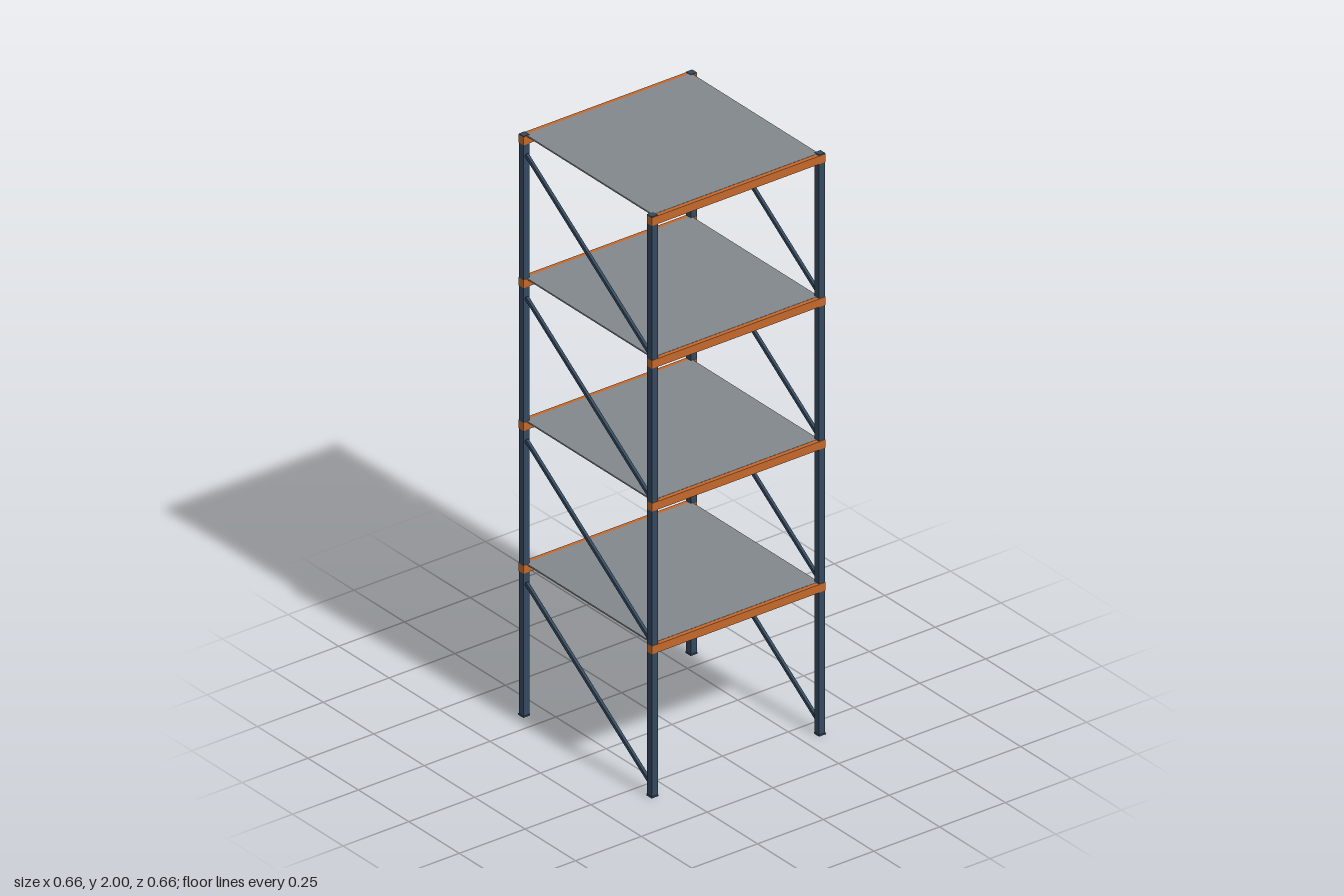
import * as THREE from 'three';

const steel = new THREE.MeshStandardMaterial({ color: 0x34495e });
steel.name = 'blue steel';
const orange = new THREE.MeshStandardMaterial({ color: 0xc4692c });
orange.name = 'orange beam';
const grey = new THREE.MeshStandardMaterial({ color: 0x82888c });
grey.name = 'grey deck';

const SIDES = [-1, 1];
const POST = 0.318;            // post centre from the middle
const STEP = 0.4915;           // height between shelves

export function createModel() {
  const rack = new THREE.Group();
  rack.name = 'shelvingRack';

  const box = (name, mat, size, pos) => {
    const mesh = new THREE.Mesh(new THREE.BoxGeometry(...size), mat);
    mesh.name = name;
    mesh.position.set(...pos);
    rack.add(mesh);
    return mesh;
  };

  // Corner posts with small foot plates
  for (const x of SIDES) for (const z of SIDES) {
    box('post', steel, [0.023, 2, 0.023], [x * POST, 1, z * POST]);
    box('footPlate', steel, [0.026, 0.005, 0.026], [x * POST, 0.0025, z * POST]);
  }

  for (let i = 0; i < 4; i++) {
    const top = 0.5235 + i * STEP;

    // Front and back beams, wrapping the posts
    for (const z of SIDES) {
      box('beam', orange, [0.66, 0.028, 0.025], [0, top - 0.0145, z * POST]);
    }

    // Deck and the supports beneath it
    box('deck', grey, [0.63, 0.005, 0.632], [0, top - 0.0022, 0]);
    for (const x of [-0.2, 0, 0.2]) {
      box('deckSupport', steel, [0.014, 0.012, 0.612], [x, top - 0.0105, 0]);
    }

    // Diagonal side braces, low at the front and high at the back
    const low = 0.045 + i * STEP, rise = 0.415, run = 0.61;
    for (const x of SIDES) {
      const brace = box('sideBrace', steel, [0.01, 0.012, Math.hypot(rise, run)],
        [x * 0.319, low + rise / 2, 0]);
      brace.rotation.x = Math.atan2(rise, run);
    }
  }
  return rack;
}
